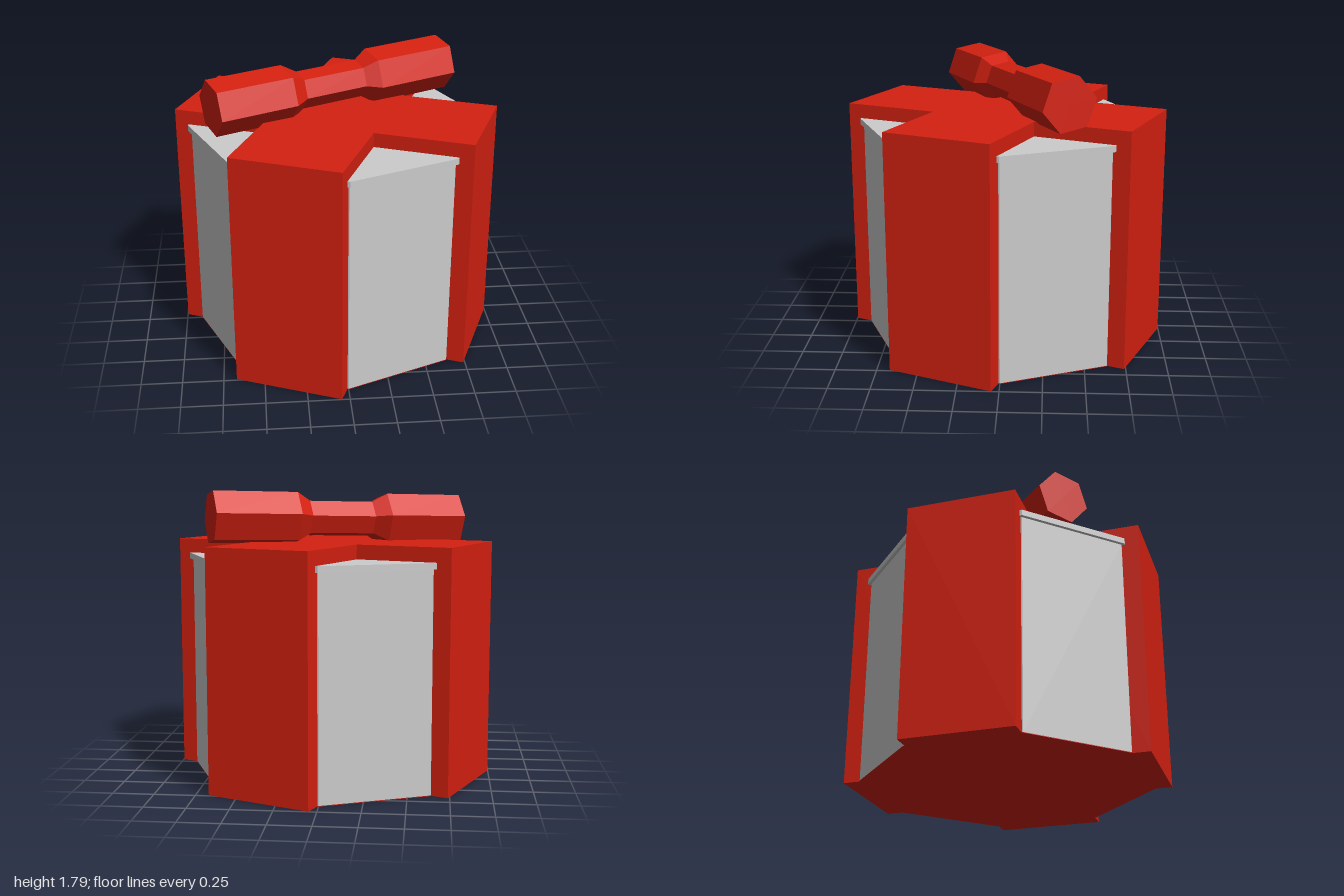
import * as THREE from 'three';

const grey = new THREE.MeshStandardMaterial({ color: 0xcccccc, flatShading: true });
const red = new THREE.MeshStandardMaterial({ color: 0xd42010, flatShading: true });

function add(group, name, geometry, material) {
  const mesh = new THREE.Mesh(geometry, material);
  mesh.name = name;
  group.add(mesh);
  return mesh;
}

// Eight-sided slab between two heights, corners on the axes
function octagon(radius, bottom, top) {
  return new THREE.CylinderGeometry(radius, radius, top - bottom, 8)
    .translate(0, (bottom + top) / 2, 0);
}

// Cross-shaped ribbon block wrapped over the box
function ribbonGeometry(reach, half, height) {
  const points = [];
  for (let i = 0; i < 4; i++) {
    for (const [x, y] of [[reach, -half], [reach, half], [half, half]]) {
      points.push(new THREE.Vector2(x, y).rotateAround(new THREE.Vector2(), i * Math.PI / 2));
    }
  }
  return new THREE.ExtrudeGeometry(new THREE.Shape(points), { depth: height, bevelEnabled: false })
    .rotateX(-Math.PI / 2);
}

export function createModel() {
  const model = new THREE.Group();
  model.name = 'giftBox';

  // Box with its red underside and slightly wider lid
  add(model, 'base', octagon(0.9, 0, 0.004), red);
  add(model, 'box', octagon(0.9, 0.004, 1.345), grey);
  add(model, 'lid', octagon(0.922, 1.345, 1.382), grey);

  const ribbon = add(model, 'ribbon', ribbonGeometry(0.94, 0.337, 1.47), red);
  ribbon.rotation.y = -Math.PI / 8;

  // Six-sided bow: two thick loops joined by a narrow knot
  const profile = [
    [0, -0.805], [0.171, -0.805], [0.171, -0.312], [0.115, -0.22],
    [0.115, 0.19], [0.171, 0.275], [0.171, 0.805], [0, 0.805],
  ].map(([r, t]) => new THREE.Vector2(r, t));
  const bow = add(model, 'bow',
    new THREE.LatheGeometry(profile, 6, THREE.MathUtils.degToRad(40)), red);

  // Lay the bow along its slightly rising diagonal
  const axis = new THREE.Vector3(0.913, 0.025, -0.407).normalize();
  const side = new THREE.Vector3(0.407, 0, 0.913).normalize();
  const up = new THREE.Vector3().crossVectors(side, axis);
  bow.quaternion.setFromRotationMatrix(new THREE.Matrix4().makeBasis(side, axis, up));
  bow.position.set(-0.03, 1.607, -0.06);

  return model;
}
